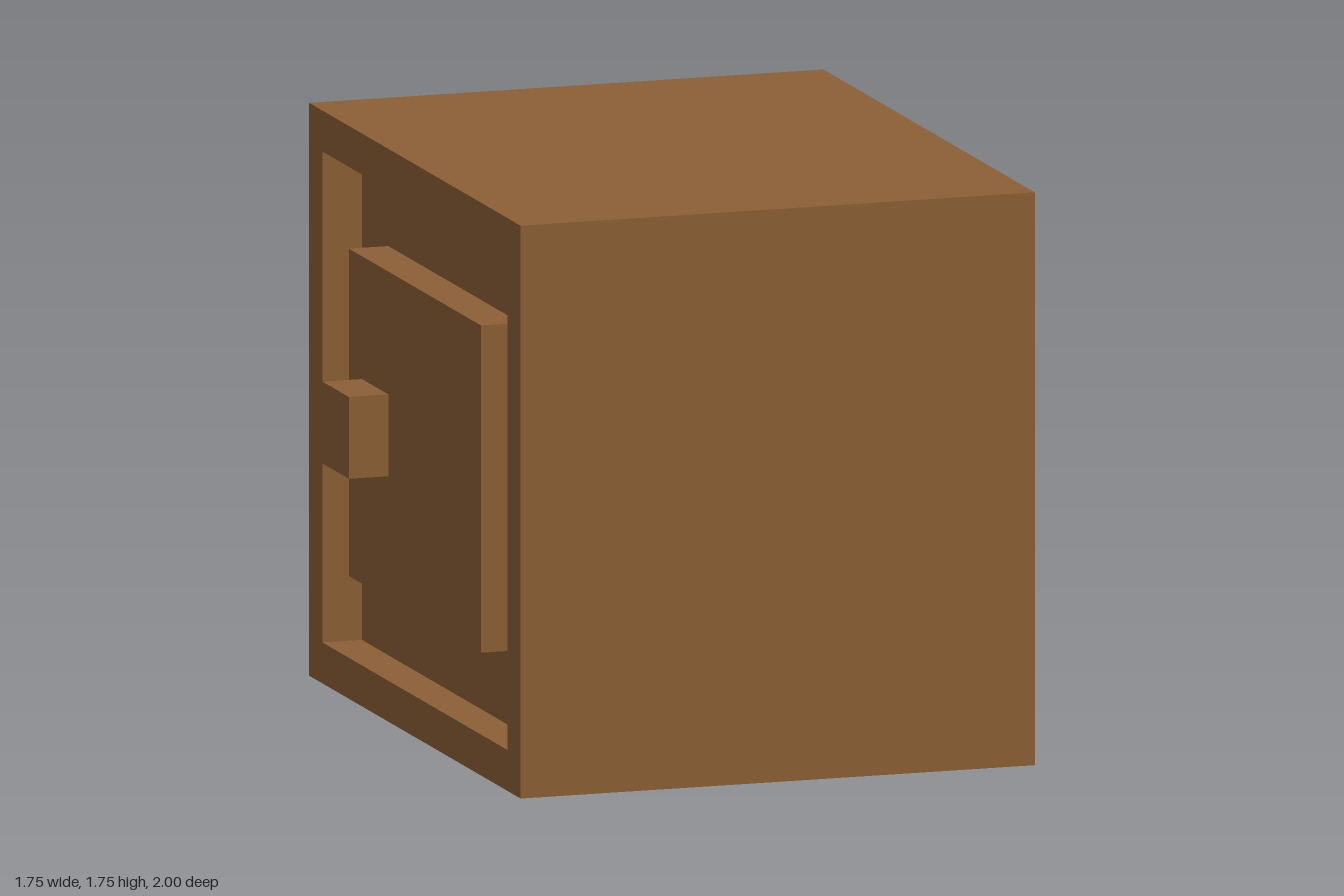
import * as THREE from 'three';

export function createModel() {
  const group = new THREE.Group();
  group.name = 'cabinet';
  const wood = new THREE.MeshStandardMaterial({ color: 0x8b5f35 });
  wood.name = 'brown wood';

  // Box given by its min and max corners
  function box(name, [x0, y0, z0], [x1, y1, z1]) {
    const geometry = new THREE.BoxGeometry(x1 - x0, y1 - y0, z1 - z0);
    geometry.translate((x0 + x1) / 2, (y0 + y1) / 2, (z0 + z1) / 2);
    const mesh = new THREE.Mesh(geometry, wood);
    mesh.name = name;
    group.add(mesh);
  }

  function rectangle(PathType, halfWidth, bottom, top) {
    return new PathType([
      new THREE.Vector2(-halfWidth, bottom),
      new THREE.Vector2(halfWidth, bottom),
      new THREE.Vector2(halfWidth, top),
      new THREE.Vector2(-halfWidth, top),
    ]);
  }

  // Solid body; its -x side is the floor of the recess
  box('body', [-0.625, 0, -1], [0.875, 1.75, 1]);

  // Raised rim around the recess on the -x side
  const outline = rectangle(THREE.Shape, 1, 0, 1.75);
  outline.holes.push(rectangle(THREE.Path, 0.875, 0.125, 1.625));
  const rimGeometry = new THREE.ExtrudeGeometry(outline, { depth: 0.125, bevelEnabled: false });
  rimGeometry.rotateY(-Math.PI / 2);
  rimGeometry.translate(-0.625, 0, 0);
  const rim = new THREE.Mesh(rimGeometry, wood);
  rim.name = 'rim';
  group.add(rim);

  // Door panel, flush with the rim, and its knob
  box('doorPanel', [-0.75, 0.375, -0.625], [-0.625, 1.375, 0.625]);
  box('knob', [-0.875, 0.75, -0.5], [-0.75, 1, -0.25]);

  return group;
}
